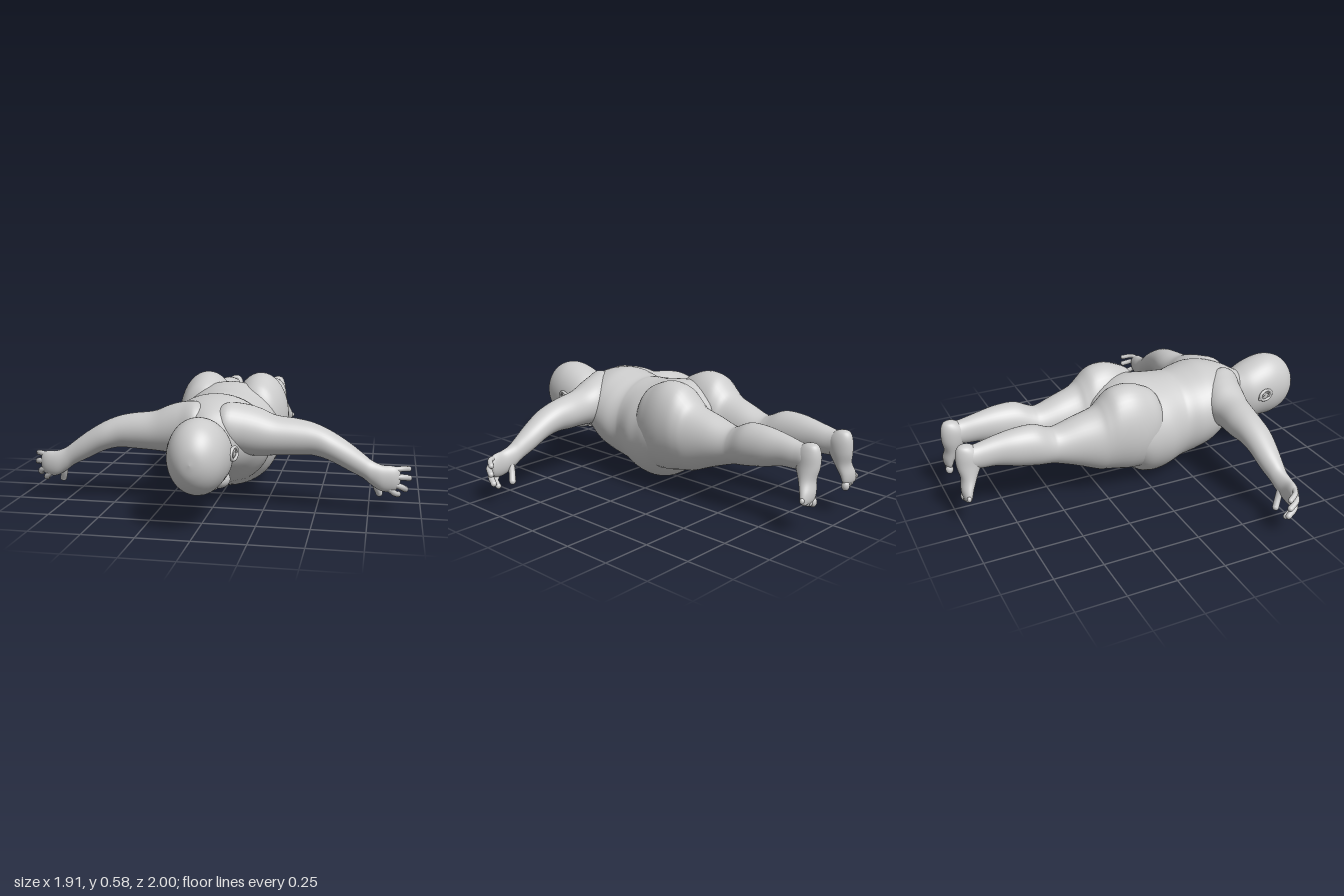
import * as THREE from 'three';
import { mergeGeometries } from 'three/addons/utils/BufferGeometryUtils.js';

const material = new THREE.MeshStandardMaterial({ color: 0xcccccc });

// Smooth skin through elliptical sections. Each row: [t, u0, u1, v0, v1], the
// position along the axis and the extents across it.
const FRAMES = {
  x: { place: (t, u, v) => [t, v, u], hand: -1 },
  y: { place: (t, u, v) => [u, t, v], hand: -1 },
  z: { place: (t, u, v) => [u, v, t], hand: 1 },
};
function spline(rows, s, k) {
  const i = Math.min(Math.floor(s), rows.length - 2), f = s - i;
  const at = (j) => rows[Math.max(0, Math.min(rows.length - 1, j))][k];
  const [a, b, c, d] = [at(i - 1), at(i), at(i + 1), at(i + 2)];
  return b + 0.5 * f * (c - a + f * (2 * a - 5 * b + 4 * c - d + f * (3 * (b - c) + d - a)));
}
function loft(axis, rows, sides = 40, steps = 5) {
  const { place, hand } = FRAMES[axis];
  const forward = hand * Math.sign(rows[rows.length - 1][0] - rows[0][0]) > 0;
  const n = (rows.length - 1) * steps, pos = [], index = [];
  for (let i = 0; i <= n; i++) {
    const [t, u0, u1, v0, v1] = [0, 1, 2, 3, 4].map((k) => spline(rows, i / steps, k));
    for (let j = 0; j < sides; j++) {
      const a = (j / sides) * Math.PI * 2;
      pos.push(...place(t, (u0 + u1) / 2 + Math.cos(a) * (u1 - u0) / 2, (v0 + v1) / 2 + Math.sin(a) * (v1 - v0) / 2));
      if (i === n) continue;
      const p = i * sides + j, q = i * sides + (j + 1) % sides;
      if (forward) index.push(p, q, q + sides, p, q + sides, p + sides);
      else index.push(p, q + sides, q, p, p + sides, q + sides);
    }
  }
  const g = new THREE.BufferGeometry();
  g.setAttribute('position', new THREE.Float32BufferAttribute(pos, 3));
  g.setIndex(index);
  g.computeVertexNormals();
  return g;
}

function ball(x, y, z, rx, ry = rx, rz = rx) {
  return new THREE.SphereGeometry(1, 24, 16).scale(rx, ry, rz).translate(x, y, z);
}

// Round-ended digit along a curve
function digit(points, r) {
  const curve = new THREE.CatmullRomCurve3(points.map((p) => new THREE.Vector3(...p)));
  const end = points[points.length - 1];
  return mergeGeometries([new THREE.TubeGeometry(curve, 10, r, 12), ball(...end, r)]);
}

function mirrored(geometry) {
  const g = geometry.clone().scale(-1, 1, 1), ix = g.index.array;
  for (let i = 0; i < ix.length; i += 3) [ix[i], ix[i + 1]] = [ix[i + 1], ix[i]];
  return g;
}

export function createModel() {
  const model = new THREE.Group();
  model.name = 'lyingBaby';
  const add = (name, geometry) => {
    const mesh = new THREE.Mesh(geometry, material);
    mesh.name = name;
    model.add(mesh);
  };
  const addPair = (name, geometry) => {
    add(name + 'Left', geometry);
    add(name + 'Right', mirrored(geometry));
  };

  // Trunk: neck, chest with soft folds, hanging belly, hips
  add('torso', loft('z', [
    [0.70, -0.08, 0.08, 0.24, 0.43], [0.62, -0.095, 0.095, 0.20, 0.475],
    [0.56, -0.15, 0.15, 0.20, 0.51], [0.48, -0.22, 0.22, 0.165, 0.54],
    [0.39, -0.26, 0.26, 0.11, 0.553], [0.31, -0.262, 0.262, 0.08, 0.54],
    [0.24, -0.245, 0.245, 0.055, 0.527], [0.20, -0.247, 0.247, 0.04, 0.53],
    [0.12, -0.272, 0.272, 0.016, 0.535], [0.05, -0.278, 0.278, 0.008, 0.545],
    [-0.02, -0.285, 0.285, 0.03, 0.55], [-0.09, -0.28, 0.28, 0.095, 0.535],
    [-0.17, -0.24, 0.24, 0.14, 0.49], [-0.23, -0.15, 0.15, 0.19, 0.42],
    [-0.25, 0, 0, 0.3, 0.3],
  ], 64));

  // Buttock, thigh, knee fold and calf in one skin
  addPair('leg', loft('z', [
    [0.12, 0.12, 0.16, 0.30, 0.36], [0.06, 0.04, 0.25, 0.2, 0.51],
    [-0.02, 0.006, 0.285, 0.12, 0.565], [-0.10, -0.004, 0.297, 0.115, 0.587],
    [-0.18, -0.003, 0.292, 0.13, 0.573], [-0.235, 0.004, 0.281, 0.14, 0.525],
    [-0.28, 0.014, 0.27, 0.15, 0.487], [-0.38, 0.023, 0.245, 0.19, 0.455],
    [-0.48, 0.036, 0.222, 0.225, 0.423], [-0.525, 0.043, 0.219, 0.238, 0.432],
    [-0.60, 0.05, 0.227, 0.25, 0.465], [-0.70, 0.06, 0.218, 0.27, 0.466],
    [-0.80, 0.075, 0.198, 0.295, 0.45], [-0.88, 0.087, 0.188, 0.30, 0.433],
    [-0.94, 0.095, 0.18, 0.31, 0.42], [-0.965, 0.135, 0.135, 0.37, 0.37],
  ]));

  // Foot hangs down from the heel, sole facing back, toes turned out
  addPair('foot', loft('y', [
    [0.442, 0.135, 0.135, -0.95, -0.95], [0.43, 0.105, 0.165, -0.982, -0.91],
    [0.39, 0.087, 0.182, -0.997, -0.87], [0.33, 0.087, 0.188, -0.997, -0.875],
    [0.27, 0.1, 0.2, -0.985, -0.905], [0.22, 0.112, 0.222, -0.992, -0.932],
    [0.185, 0.122, 0.23, -0.99, -0.945], [0.165, 0.14, 0.215, -0.98, -0.955],
    [0.16, 0.18, 0.18, -0.968, -0.968],
  ], 32));
  addPair('toes', mergeGeometries([0, 1, 2, 3, 4].map((i) => {
    const r = i ? 0.0145 - i * 0.0008 : 0.02;
    return ball(0.14 + i * 0.021 + (i ? 0.004 : 0), 0.162 + i * i * 0.0018, -0.972, r, r * 1.25, r);
  })));

  // Shoulder, upper arm, elbow, forearm and palm
  addPair('arm', loft('x', [
    [0, 0.46, 0.56, 0.36, 0.48], [0.07, 0.40, 0.605, 0.31, 0.53],
    [0.15, 0.355, 0.585, 0.28, 0.523], [0.22, 0.345, 0.568, 0.27, 0.503],
    [0.30, 0.357, 0.55, 0.275, 0.47], [0.40, 0.357, 0.533, 0.278, 0.455],
    [0.48, 0.367, 0.523, 0.28, 0.438], [0.56, 0.377, 0.522, 0.26, 0.405],
    [0.65, 0.388, 0.51, 0.215, 0.35], [0.72, 0.405, 0.498, 0.18, 0.298],
    [0.76, 0.415, 0.495, 0.15, 0.268], [0.81, 0.428, 0.495, 0.122, 0.249],
    [0.86, 0.425, 0.485, 0.122, 0.245], [0.89, 0.425, 0.468, 0.14, 0.23],
    [0.9, 0.445, 0.445, 0.185, 0.185],
  ]));

  // Fingers spread and curling back, thumb lowest
  addPair('fingers', mergeGeometries([
    digit([[0.85, 0.225, 0.46], [0.905, 0.228, 0.435], [0.935, 0.217, 0.388]], 0.0135),
    digit([[0.86, 0.195, 0.465], [0.912, 0.188, 0.44], [0.938, 0.172, 0.39]], 0.015),
    digit([[0.85, 0.165, 0.465], [0.9, 0.142, 0.445], [0.922, 0.118, 0.395]], 0.015),
    digit([[0.835, 0.145, 0.465], [0.87, 0.112, 0.45], [0.888, 0.094, 0.405]], 0.0145),
    digit([[0.775, 0.19, 0.445], [0.785, 0.135, 0.425], [0.8, 0.095, 0.405]], 0.017),
  ]));

  // Head: crown forward, face down
  add('head', loft('z', [
    [1.0, 0, 0, 0.345, 0.345], [0.99, -0.048, 0.048, 0.285, 0.405],
    [0.96, -0.09, 0.09, 0.232, 0.458], [0.91, -0.123, 0.123, 0.192, 0.5],
    [0.84, -0.14, 0.14, 0.168, 0.52], [0.77, -0.143, 0.143, 0.166, 0.512],
    [0.70, -0.137, 0.137, 0.162, 0.488], [0.65, -0.118, 0.118, 0.17, 0.463],
    [0.61, -0.09, 0.09, 0.19, 0.44], [0.58, -0.055, 0.055, 0.23, 0.40],
    [0.57, 0, 0, 0.32, 0.32],
  ], 56));
  add('nose', mergeGeometries([
    ball(0, 0.163, 0.722, 0.018, 0.02, 0.02), ball(0, 0.173, 0.75, 0.012, 0.015, 0.035),
    ball(0.017, 0.166, 0.718, 0.011), ball(-0.017, 0.166, 0.718, 0.011),
  ]));
  add('lips', mergeGeometries([
    ball(0, 0.163, 0.683, 0.032, 0.014, 0.009), ball(0, 0.167, 0.664, 0.027, 0.014, 0.01),
  ]));
  add('chin', ball(0, 0.192, 0.63, 0.045, 0.028, 0.03));
  addPair('cheek', ball(0.068, 0.207, 0.688, 0.054, 0.044, 0.05));
  addPair('eyelid', mergeGeometries([
    ball(0.053, 0.186, 0.768, 0.024, 0.012, 0.008), ball(0.053, 0.186, 0.754, 0.024, 0.012, 0.007),
  ]));

  // Ear: flared rim around a shallow bowl, with a lobe
  const rim = new THREE.TorusGeometry(0.036, 0.009, 10, 28).scale(1.1, 0.8, 1);
  const bowl = ball(0, 0, -0.008, 0.036, 0.027, 0.012);
  const fold = new THREE.TorusGeometry(0.02, 0.005, 8, 20, 4).scale(1.1, 0.8, 1).translate(0, 0, 0.004);
  const lobe = ball(0.038, -0.012, -0.002, 0.014, 0.014, 0.009);
  const ear = mergeGeometries([rim, bowl, fold, lobe]);
  addPair('ear', ear.rotateY(Math.PI / 2 - 0.2).translate(0.15, 0.347, 0.755));

  return model;
}
